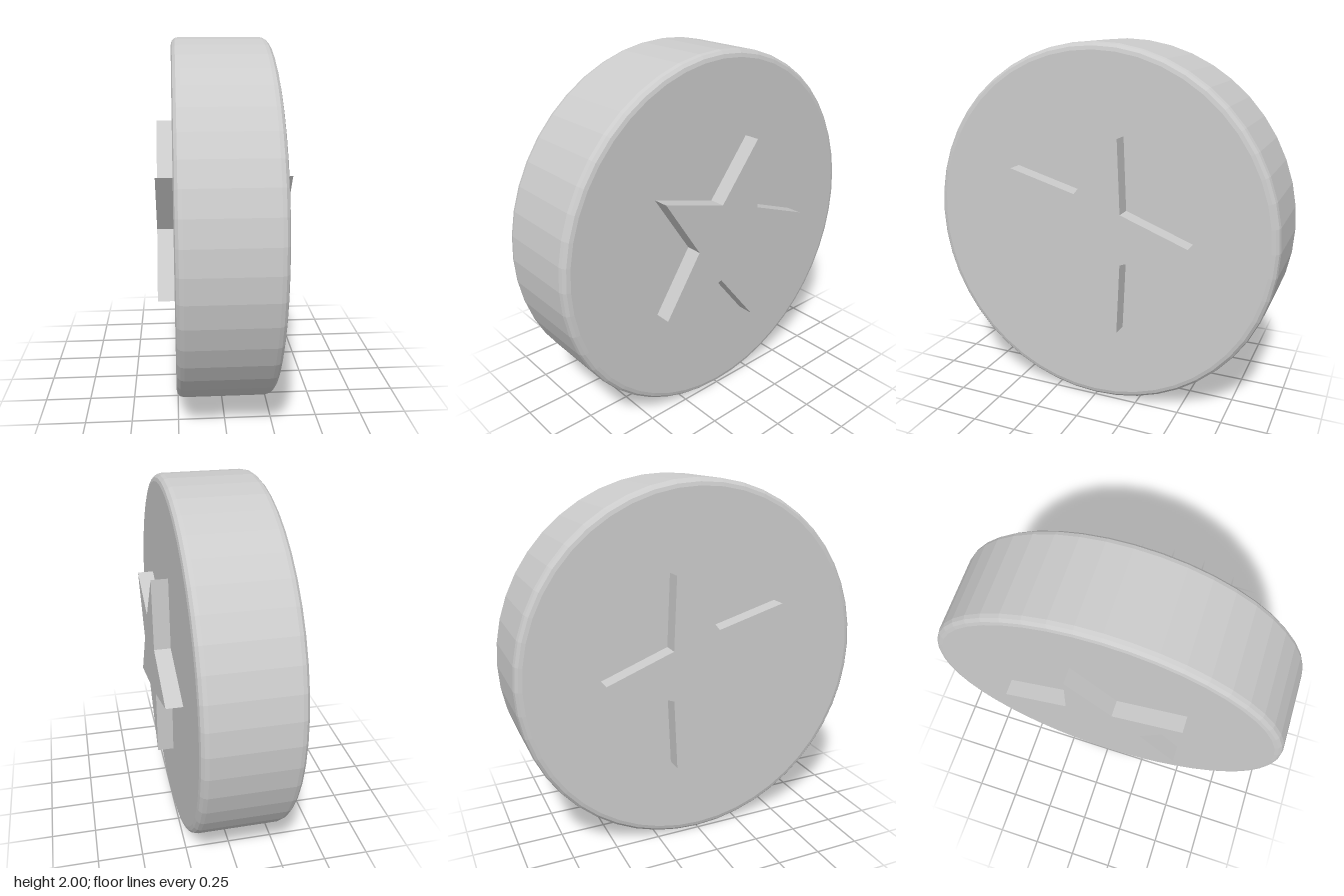
import * as THREE from 'three';

const SIDES = 48, RADIUS = 1, HALF_WIDTH = 0.257, BEVEL = 0.04, BEVEL_STEPS = 3;
const STAR_OUTER = 0.56, STAR_INNER = 0.235, STAR_HALF_WIDTH = 0.347;

export function createModel() {
  const model = new THREE.Group();
  model.name = 'starDisc';
  const material = new THREE.MeshStandardMaterial({ color: 0xcccccc, flatShading: true });

  // Disc: half profile with rounded rims, turned about the x axis
  const profile = [new THREE.Vector2(0, -HALF_WIDTH)];
  for (const side of [-1, 1]) {
    for (let i = 0; i <= BEVEL_STEPS; i++) {
      const t = (side < 0 ? i : BEVEL_STEPS - i) / BEVEL_STEPS * Math.PI / 2;
      profile.push(new THREE.Vector2(
        RADIUS - BEVEL + BEVEL * Math.sin(t),
        side * (HALF_WIDTH - BEVEL + BEVEL * Math.cos(t))));
    }
  }
  profile.push(new THREE.Vector2(0, HALF_WIDTH));
  const disc = new THREE.Mesh(new THREE.LatheGeometry(profile, SIDES).rotateZ(Math.PI / 2), material);
  disc.name = 'disc';
  disc.position.y = RADIUS;
  model.add(disc);

  // Star: runs through the disc and stands proud on both faces, one tip to the back
  const points = [];
  for (let i = 0; i < 10; i++) {
    const r = i % 2 ? STAR_INNER : STAR_OUTER, a = i * Math.PI / 5;
    points.push(new THREE.Vector2(r * Math.cos(a), r * Math.sin(a)));
  }
  const starGeometry = new THREE.ExtrudeGeometry(new THREE.Shape(points),
    { depth: 2 * STAR_HALF_WIDTH, bevelEnabled: false });
  starGeometry.translate(0, 0, -STAR_HALF_WIDTH).rotateY(Math.PI / 2);
  const star = new THREE.Mesh(starGeometry, material);
  star.name = 'star';
  star.position.y = RADIUS;
  model.add(star);

  return model;
}
